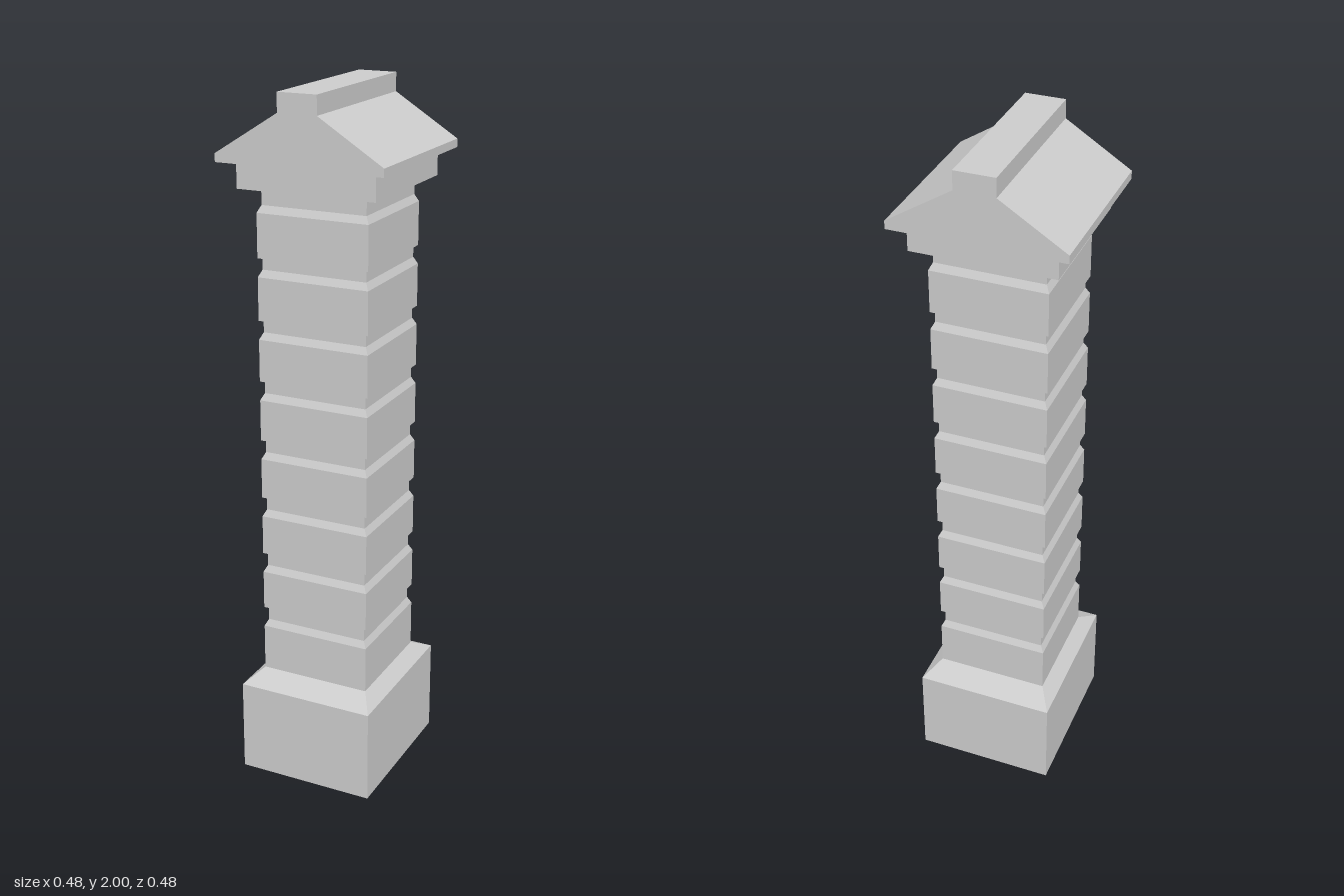
import * as THREE from 'three';

const material = new THREE.MeshStandardMaterial({ color: 0xcccccc, flatShading: true });

// Rectangular solid through sections [y, halfWidth, halfDepth], listed upwards
function loft(name, sections) {
  const first = sections[0], last = sections[sections.length - 1];
  const rings = [[first[0], 0, 0], ...sections, [last[0], 0, 0]];
  const profile = rings.map((r, i) => new THREE.Vector2(1, i));
  const lathe = new THREE.LatheGeometry(profile, 4, Math.PI / 4);
  const pos = lathe.attributes.position;
  for (let i = 0; i < pos.count; i++) {
    const [y, hx, hz] = rings[i % rings.length];
    pos.setXYZ(i, Math.sign(pos.getX(i)) * hx, y, Math.sign(pos.getZ(i)) * hz);
  }
  const geometry = lathe.toNonIndexed();
  geometry.computeVertexNormals();
  const mesh = new THREE.Mesh(geometry, material);
  mesh.name = name;
  return mesh;
}

export function createModel() {
  const model = new THREE.Group();
  model.name = 'pillar';

  // Plinth with sloped shoulders
  model.add(loft('plinth', [[0, 0.203, 0.23], [0.275, 0.203, 0.23], [0.31, 0.163, 0.163]]));

  // Banded shaft: each block is bevelled into a slimmer neck
  const count = 8, wide = 0.163, neck = 0.153;
  const blockBase = i => (i === 0 ? 0.31 : i === count ? 1.737 : 0.507 + 0.1733 * (i - 1));
  const sections = [];
  for (let i = 0; i < count; i++) {
    const bevel = 0.446 + 0.1748 * i;
    sections.push(
      [blockBase(i), wide, wide],
      [bevel, wide, wide],
      [bevel + 0.02, neck, neck],
      [blockBase(i + 1), neck, neck]
    );
  }
  model.add(loft('shaft', sections));

  // Square slab under the roof
  model.add(loft('capital', [[1.737, 0.2, 0.2], [1.81, 0.2, 0.2]]));

  // Gabled roof with a flat ridge, running front to back
  const half = [[0.24, 1.81], [0.24, 1.833], [0.056, 1.948], [0.056, 2]];
  const outline = [...half, ...half.map(([x, y]) => [-x, y]).reverse()];
  const shape = new THREE.Shape(outline.map(([x, y]) => new THREE.Vector2(x, y)));
  const roof = new THREE.Mesh(
    new THREE.ExtrudeGeometry(shape, { depth: 0.48, bevelEnabled: false }).translate(0, 0, -0.24),
    material
  );
  roof.name = 'roof';
  model.add(roof);

  return model;
}
